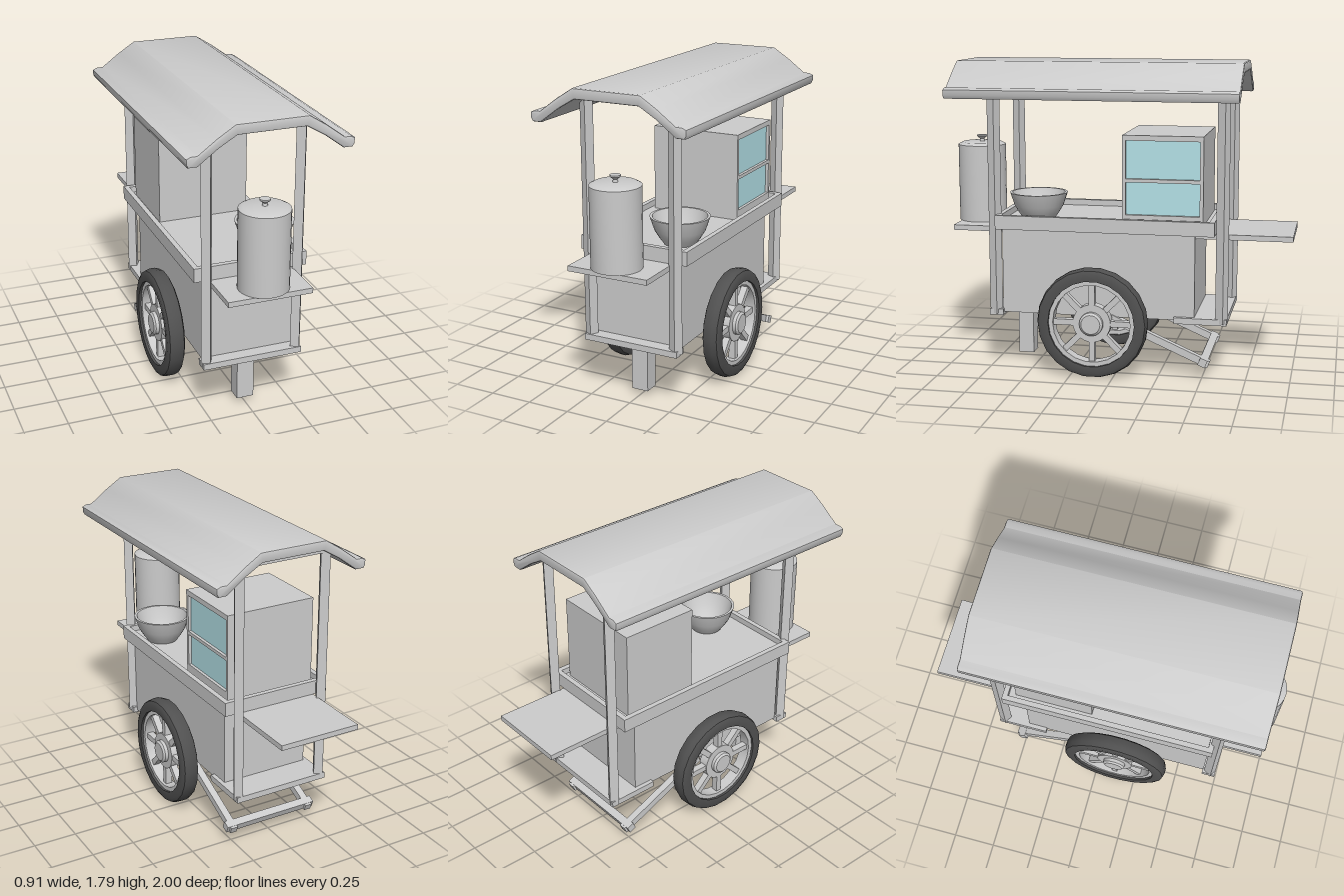
import * as THREE from 'three';
import { toCreasedNormals } from 'three/addons/utils/BufferGeometryUtils.js';

const grey = new THREE.MeshStandardMaterial({ color: 0xcccccc });
const greyTwoSided = new THREE.MeshStandardMaterial({ color: 0xcccccc, side: THREE.DoubleSide });
const rubber = new THREE.MeshStandardMaterial({ color: 0x505050 });
const glass = new THREE.MeshStandardMaterial({ color: 0xb4e2e8 });

function add(parent, name, geometry, material = grey) {
  const mesh = new THREE.Mesh(geometry, material);
  mesh.name = name;
  parent.add(mesh);
  return mesh;
}

// Box given by its extents on each axis
function block(parent, name, [x0, x1], [y0, y1], [z0, z1], material = grey) {
  const mesh = add(parent, name, new THREE.BoxGeometry(x1 - x0, y1 - y0, z1 - z0), material);
  mesh.position.set((x0 + x1) / 2, (y0 + y1) / 2, (z0 + z1) / 2);
  return mesh;
}

function lathe(parent, name, points, sides, material = grey) {
  const profile = points.map(([r, y]) => new THREE.Vector2(r, y));
  return add(parent, name, toCreasedNormals(new THREE.LatheGeometry(profile, sides), 0.6), material);
}

// Square bar between two points in a plane of constant x
function bar(parent, name, x, [y0, z0], [y1, z1], width) {
  const mesh = add(parent, name, new THREE.BoxGeometry(width, width, Math.hypot(y1 - y0, z1 - z0)));
  mesh.position.set(x, (y0 + y1) / 2, (z0 + z1) / 2);
  mesh.lookAt(x, y1, z1);
  return mesh;
}

// Roof: bent sheet with flared eaves and softly rounded edges
function makeRoof(parent) {
  const half = [[0.195, 1.78], [0.29, 1.72], [0.395, 1.643], [0.43, 1.643], [0.447, 1.635],
    [0.447, 1.615], [0.44, 1.602], [0.40, 1.602], [0.29, 1.683], [0.19, 1.742]];
  const outline = [...half, ...half.slice().reverse().map(([x, y]) => [-x, y])];
  const shape = new THREE.Shape(outline.map(([x, y]) => new THREE.Vector2(x, y)));
  const geometry = new THREE.ExtrudeGeometry(shape, {
    depth: 1.63, bevelEnabled: true, bevelSize: 0.01, bevelThickness: 0.01, bevelSegments: 2,
  });
  geometry.translate(0, 0, -0.70);
  add(parent, 'roof', toCreasedNormals(geometry, 0.65));
}

// Wheel built round the y axis, then laid onto the axle
function makeWheel(side) {
  const wheel = new THREE.Group();
  wheel.name = side > 0 ? 'leftWheel' : 'rightWheel';
  lathe(wheel, 'tyre', [[0.25, -0.05], [0.29, -0.053], [0.311, -0.042], [0.32, -0.015],
    [0.32, 0.015], [0.311, 0.042], [0.29, 0.053], [0.25, 0.05], [0.25, -0.05]], 22, rubber);
  lathe(wheel, 'rim', [[0.225, -0.035], [0.255, -0.035], [0.255, 0.035],
    [0.225, 0.035], [0.225, -0.035]], 22);
  lathe(wheel, 'hub', [[0, -0.035], [0.11, -0.035], [0.11, 0.025], [0.068, 0.025], [0.068, 0.045],
    [0.055, 0.055], [0, 0.055]], 22);
  for (let i = 0; i < 8; i++) {
    const angle = (i * Math.PI) / 4;
    const spoke = add(wheel, 'spoke', new THREE.BoxGeometry(0.14, 0.04, 0.034));
    spoke.position.set(Math.cos(angle) * 0.165, 0, -Math.sin(angle) * 0.165);
    spoke.rotation.y = angle;
  }
  wheel.rotation.z = (-side * Math.PI) / 2;
  wheel.position.set(side * 0.333, 0.32, 0.12);
  return wheel;
}

// Display cabinet: open-sided frame with two recessed panes
function makeCabinet(parent) {
  const cabinet = new THREE.Group();
  cabinet.name = 'cabinet';
  parent.add(cabinet);
  block(cabinet, 'cabinetBody', [-0.27, 0.25], [0.88, 1.39], [-0.50, -0.04]);
  const rows = [[0.94, 1.125], [1.145, 1.36]];
  const frame = new THREE.Shape().moveTo(0.04, 0.88).lineTo(0.50, 0.88).lineTo(0.50, 1.39).lineTo(0.04, 1.39);
  rows.forEach(([y0, y1], i) => {
    frame.holes.push(new THREE.Path().moveTo(0.06, y0).lineTo(0.06, y1).lineTo(0.48, y1).lineTo(0.48, y0));
    block(cabinet, i ? 'upperPane' : 'lowerPane', [0.245, 0.254], [y0, y1], [-0.48, -0.06], glass);
  });
  const geometry = new THREE.ExtrudeGeometry(frame, { depth: 0.022, bevelEnabled: false });
  geometry.rotateY(Math.PI / 2).translate(0.25, 0, 0);
  add(cabinet, 'paneFrame', geometry);
}

export function createModel() {
  const cart = new THREE.Group();
  cart.name = 'foodCart';

  // Body and counter with a raised rim
  block(cart, 'body', [-0.265, 0.265], [0.34, 0.85], [-0.455, 0.665]);
  block(cart, 'counter', [-0.32, 0.32], [0.84, 0.885], [-0.56, 0.68]);
  for (const side of [-1, 1]) {
    block(cart, 'counterSideRim', side > 0 ? [0.297, 0.327] : [-0.327, -0.297], [0.84, 0.92], [-0.57, 0.69]);
  }
  block(cart, 'counterFrontRim', [-0.297, 0.297], [0.84, 0.92], [0.66, 0.69]);
  block(cart, 'counterBackRim', [-0.297, 0.297], [0.84, 0.92], [-0.57, -0.54]);

  // Shelves, base and front leg
  block(cart, 'frontShelf', [-0.24, 0.24], [0.81, 0.84], [0.65, 0.965]);
  block(cart, 'backShelf', [-0.24, 0.24], [0.81, 0.84], [-1, -0.45]);
  block(cart, 'frontBaseRail', [-0.29, 0.29], [0.325, 0.36], [0.66, 0.74]);
  block(cart, 'backBase', [-0.29, 0.29], [0.325, 0.36], [-0.64, -0.34]);
  block(cart, 'frontLeg', [-0.05, 0.05], [0.035, 0.345], [0.545, 0.635]);

  // Roof on four turned square posts
  makeRoof(cart);
  for (const z of [0.705, -0.61]) {
    for (const x of [-0.263, 0.267]) {
      const post = add(cart, 'post', new THREE.BoxGeometry(0.051, 1.37, 0.051));
      post.position.set(x, 1.02, z);
      post.rotation.y = -0.5;
    }
    block(cart, 'roofCrossbar', [-0.25, 0.25], [1.69, 1.72], [z - 0.02, z + 0.02]);
  }

  // Wheels and axle
  const axle = add(cart, 'axle', new THREE.CylinderGeometry(0.04, 0.04, 0.62, 16));
  axle.rotation.z = Math.PI / 2;
  axle.position.set(0, 0.32, 0.12);
  for (const side of [-1, 1]) {
    cart.add(makeWheel(side));
    const collar = add(cart, 'axleCollar', new THREE.CylinderGeometry(0.065, 0.065, 0.06, 16));
    collar.rotation.z = Math.PI / 2;
    collar.position.set(side * 0.275, 0.32, 0.12);
    // Sloping rear support arms
    bar(cart, 'supportArm', side * 0.252, [0.335, 0.03], [0.088, -0.54], 0.042);
  }
  const crossbar = block(cart, 'supportCrossbar', [-0.29, 0.29], [0.08, 0.125], [-0.53, -0.485]);
  crossbar.rotation.x = -0.41;

  makeCabinet(cart);

  // Tall lidded jar on the front shelf
  const jar = lathe(cart, 'jar', [[0, 0], [0.14, 0], [0.14, 0.45], [0.115, 0.463], [0.015, 0.465],
    [0.012, 0.48], [0.03, 0.495], [0.03, 0.503], [0, 0.503]], 28);
  jar.position.set(0, 0.84, 0.858);

  // Open bowl on the counter
  const bowl = lathe(cart, 'bowl', [[0, 0], [0.09, 0], [0.115, 0.035], [0.142, 0.08], [0.167, 0.155],
    [0.152, 0.155], [0.128, 0.085], [0.1, 0.04], [0.08, 0.018], [0, 0.018]], 28, greyTwoSided);
  bowl.position.set(0.17, 0.885, 0.468);

  return cart;
}
